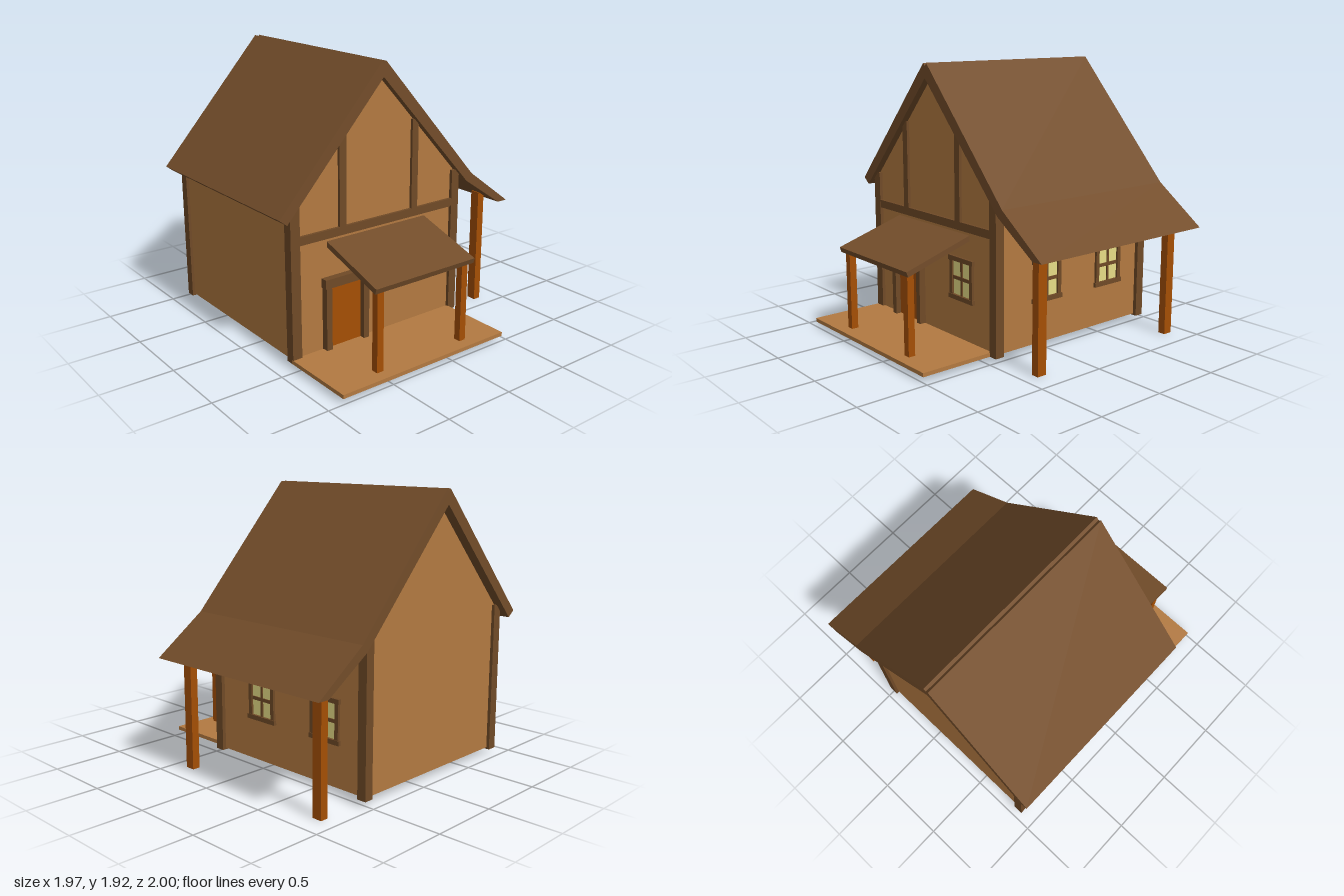
import * as THREE from 'three';

const material = (name, color) => {
  const m = new THREE.MeshStandardMaterial({ color });
  m.name = name;
  return m;
};

export function createModel() {
  const house = new THREE.Group();
  house.name = 'timberHouse';

  const plaster = material('warmPlaster', 0xb37a41);
  const beam = material('darkTimber', 0x704a27);
  const roofWood = material('roofTimber', 0x734d2a);
  const orange = material('orangeWood', 0xa54f04);
  const glass = material('yellowGlass', 0xe9df88);
  const red = material('redFloor', 0xc23a28);
  const black = material('blackStrip', 0x303030);
  const green = material('greenRug', 0x85c02a);
  const grey = material('greyStone', 0xd0c4cc);

  // Box given by its lower and upper limits on each axis
  const box = (name, mat, [x0, x1], [y0, y1], [z0, z1], parent = house) => {
    const mesh = new THREE.Mesh(new THREE.BoxGeometry(x1 - x0, y1 - y0, z1 - z0), mat);
    mesh.position.set((x0 + x1) / 2, (y0 + y1) / 2, (z0 + z1) / 2);
    mesh.name = name;
    parent.add(mesh);
    return mesh;
  };

  // Profile in x and y, extruded from z0 to z1
  const prism = (name, mat, points, z0, z1) => {
    const shape = new THREE.Shape(points.map(([x, y]) => new THREE.Vector2(x, y)));
    const geo = new THREE.ExtrudeGeometry(shape, { depth: z1 - z0, bevelEnabled: false });
    const mesh = new THREE.Mesh(geo, mat);
    mesh.position.z = z0;
    mesh.name = name;
    house.add(mesh);
    return mesh;
  };

  // Gabled walls
  prism('walls', plaster, [
    [-0.87, 0.05], [0.495, 0.05], [0.495, 1.08], [-0.185, 1.825], [-0.87, 1.07],
  ], -0.93, 0.445);

  // Roof with a notched ridge and a flatter skirt over the side porch
  prism('roof', roofWood, [
    [-0.985, 1.04], [-0.93, 0.997], [-0.185, 1.82], [0.572, 1.0], [0.9, 0.78],
    [0.983, 0.78], [0.617, 1.05], [-0.165, 1.92], [-0.182, 1.9], [-0.2, 1.92],
  ], -1, 0.497);

  // Corner posts
  for (const x of [[-0.89, -0.82], [0.457, 0.522]]) {
    for (const z of [[0.4, 0.468], [-0.952, -0.885]]) box('cornerPost', beam, x, [0.038, 1.09], z);
  }

  // Front framing
  box('crossBeam', beam, [-0.82, 0.46], [0.83, 0.887], [0.43, 0.465]);
  for (const x of [[-0.51, -0.457], [0.09, 0.142]]) {
    box('gableStud', beam, x, [0.887, 1.505], [0.43, 0.465]);
  }

  // Front deck
  box('deck', plaster, [-0.89, 0.46], [0.038, 0.065], [0.45, 1.0]);

  // Door and its frame
  box('door', orange, [-0.6, -0.333], [0.065, 0.5], [0.44, 0.455]);
  for (const x of [[-0.64, -0.597], [-0.336, -0.293]]) {
    box('doorJamb', beam, x, [0.012, 0.5], [0.44, 0.494]);
  }
  box('doorLintel', beam, [-0.645, -0.288], [0.5, 0.563], [0.44, 0.495]);

  // Sloping canopy over the door: profile in z and y, extruded along x
  const canopy = prism('canopy', roofWood, [
    [0.44, 0.77], [0.937, 0.612], [0.948, 0.648], [0.44, 0.808],
  ], 0, 0.823);
  canopy.rotation.y = -Math.PI / 2;
  canopy.position.set(0.222, 0, 0);
  for (const x of [[-0.568, -0.518], [0.137, 0.187]]) {
    box('canopyPost', orange, x, [0.065, 0.625], [0.87, 0.92]);
  }

  // Side porch posts
  for (const z of [[0.327, 0.398], [-0.892, -0.822]]) {
    box('porchPost', orange, [0.795, 0.85], [0, 0.845], z);
  }

  // Window facing +z, built around its own centre
  const makeWindow = (x, y, z, turn) => {
    const w = new THREE.Group();
    w.name = 'window';
    box('pane', glass, [-0.095, 0.095], [-0.12, 0.12], [-0.002, 0.004], w);
    for (const s of [-1, 1]) {
      box('sideFrame', beam, [s * 0.108 - 0.015, s * 0.108 + 0.015], [-0.125, 0.125], [-0.01, 0.018], w);
      box('sill', beam, [-0.132, 0.132], [s * 0.135 - 0.016, s * 0.135 + 0.016], [-0.01, 0.022], w);
    }
    box('uprightBar', beam, [-0.009, 0.009], [-0.12, 0.12], [0, 0.012], w);
    box('crossBar', beam, [-0.095, 0.095], [-0.012, 0.012], [0, 0.011], w);
    w.position.set(x, y, z);
    w.rotation.y = turn;
    house.add(w);
  };
  makeWindow(0.144, 0.49, 0.445, 0);
  makeWindow(0.495, 0.49, 0.002, Math.PI / 2);
  makeWindow(0.495, 0.49, -0.587, Math.PI / 2);

  // Floor with its patches, seen from beneath
  box('floor', red, [-0.86, 0.485], [0.048, 0.052], [-0.92, 0.44]);
  for (const z of [[-0.57, -0.45], [-0.08, 0.06]]) {
    box('floorStrip', black, [-0.86, 0.485], [0.0465, 0.05], z);
  }
  box('floorPlank', beam, [0.2, 0.45], [0.045, 0.049], [-0.57, -0.45]);
  box('floorRug', green, [0.07, 0.27], [0.045, 0.049], [-0.31, 0.43]);
  for (const z of [[-0.86, -0.57], [0.06, 0.4]]) {
    box('floorStone', grey, [-0.86, -0.7], [0.0465, 0.05], z);
  }

  return house;
}
